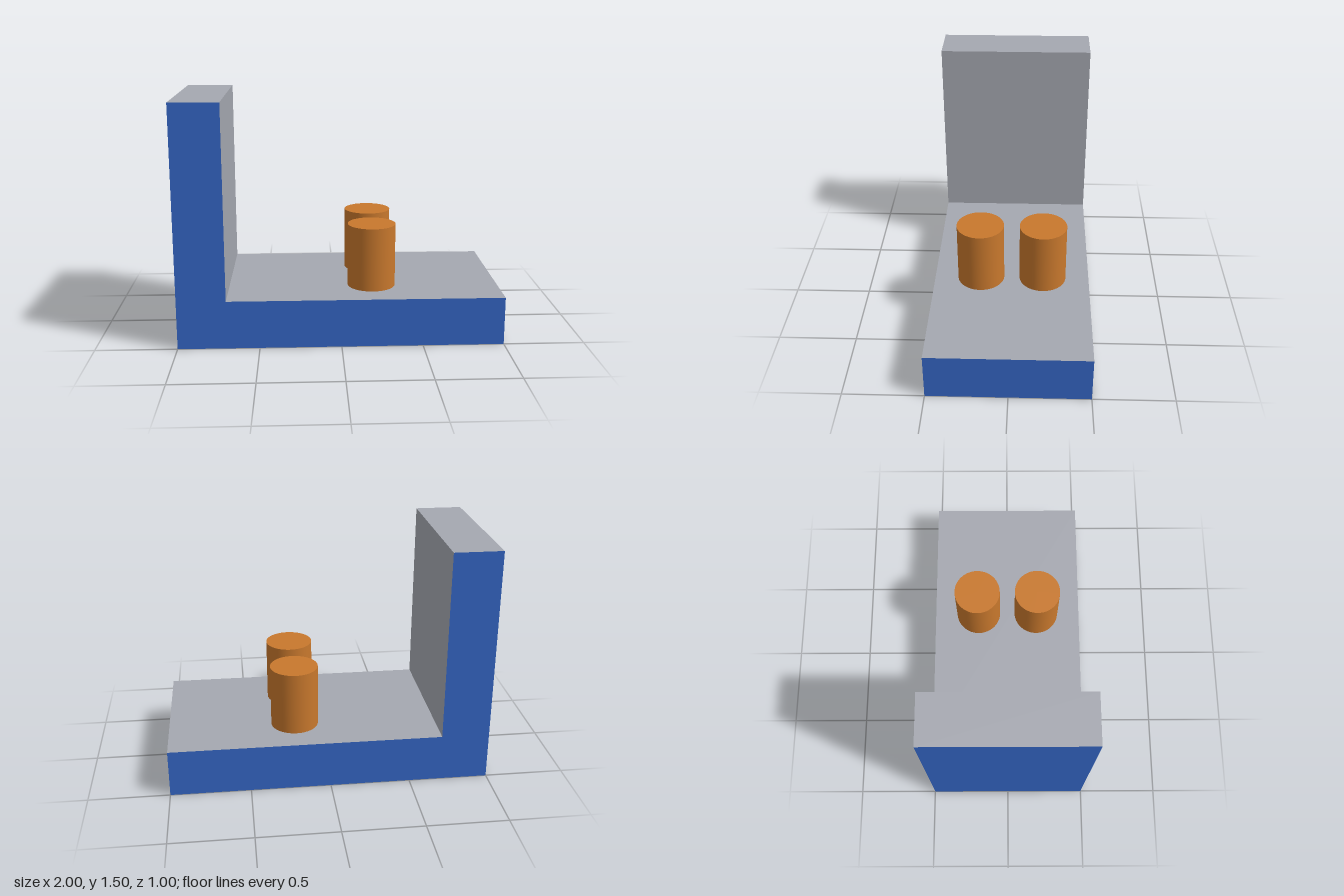
import * as THREE from 'three';

export function createModel() {
  const blue = new THREE.MeshStandardMaterial({ color: 0x3567c6 });
  blue.name = 'blue';
  const grey = new THREE.MeshStandardMaterial({ color: 0xa5a8b0 });
  grey.name = 'grey';
  const orange = new THREE.MeshStandardMaterial({ color: 0xc8782d });
  orange.name = 'orange';

  const model = new THREE.Group();
  model.name = 'bracketWithPegs';

  // L-shaped bracket: floor plate and upright wall in one extrusion
  const profile = new THREE.Shape([
    [-1, 0], [1, 0], [1, 0.3], [-0.7, 0.3], [-0.7, 1.5], [-1, 1.5],
  ].map(([x, y]) => new THREE.Vector2(x, y)));
  const geometry = new THREE.ExtrudeGeometry(profile, { depth: 1, bevelEnabled: false });
  geometry.translate(0, 0, -0.5);

  // Upward faces and the wall's inner face are grey, all others blue
  const pos = geometry.attributes.position;
  const normal = geometry.attributes.normal;
  geometry.clearGroups();
  for (let i = 0; i < pos.count; i += 3) {
    const isTop = normal.getY(i) > 0.5;
    const isInnerWall = normal.getX(i) > 0.5 && pos.getX(i) < 0;
    geometry.addGroup(i, 3, isTop || isInnerWall ? 1 : 0);
  }
  const bracket = new THREE.Mesh(geometry, [blue, grey]);
  bracket.name = 'bracket';
  model.add(bracket);

  // Pair of round pegs standing on the floor plate
  const pegGeometry = new THREE.CylinderGeometry(0.15, 0.15, 0.4, 64);
  for (const side of [-1, 1]) {
    const peg = new THREE.Mesh(pegGeometry, orange);
    peg.name = side > 0 ? 'frontPeg' : 'backPeg';
    peg.position.set(0.2, 0.5, side * 0.2);
    model.add(peg);
  }

  return model;
}
